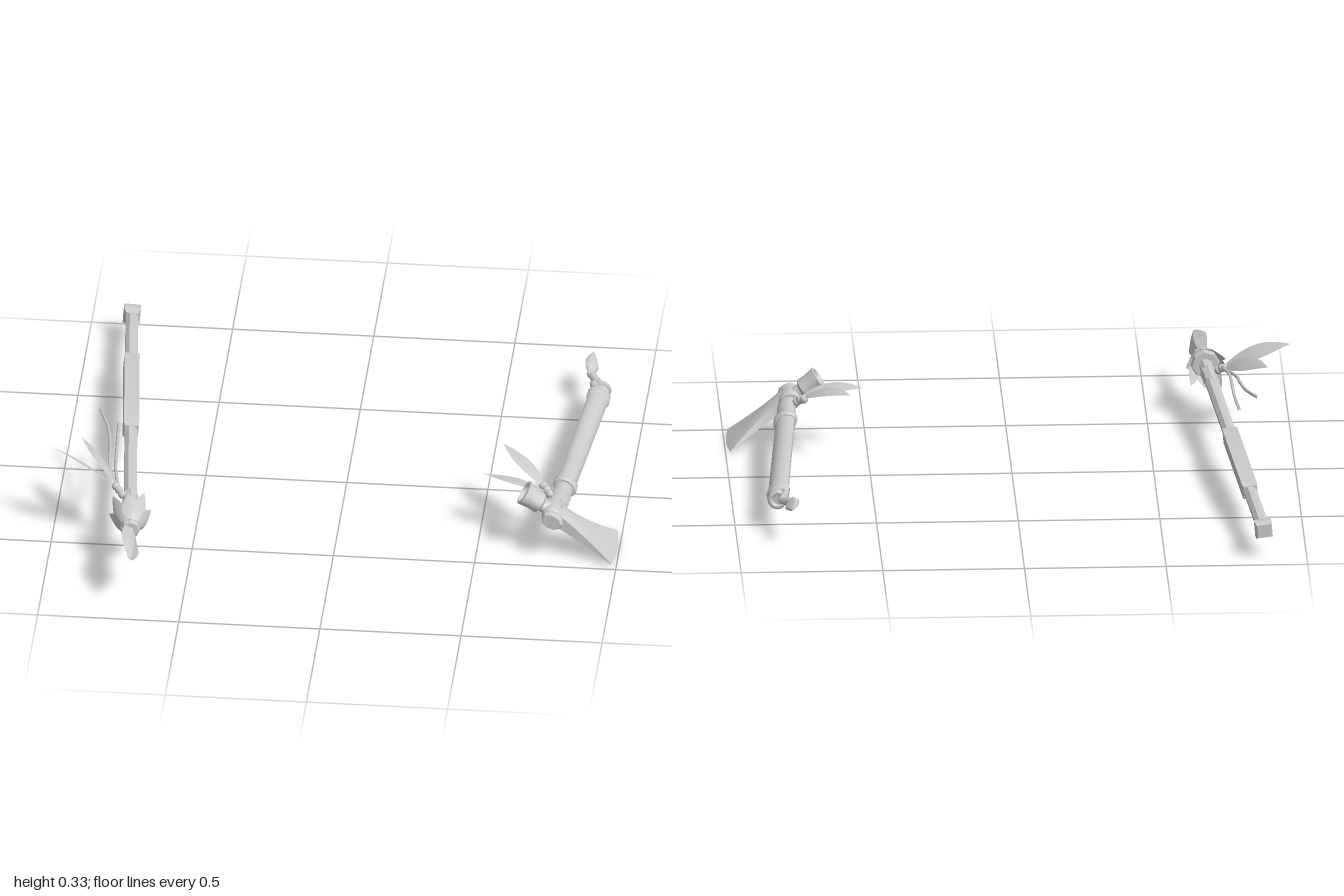
import * as THREE from 'three';
import { toCreasedNormals } from 'three/addons/utils/BufferGeometryUtils.js';

const mat = new THREE.MeshStandardMaterial({ color: 0xcccccc });
const thin = new THREE.MeshStandardMaterial({ color: 0xcccccc, side: THREE.DoubleSide });
const V = (x, y, z) => new THREE.Vector3(x, y, z);
const TILT = 0.61; // lean of the hatchet's flat plane

function add(parent, name, geometry, material = mat) {
  const mesh = new THREE.Mesh(geometry, material);
  mesh.name = name;
  parent.add(mesh);
  return mesh;
}

// Turned part from [radius, height] pairs, optionally flattened in z and then spun about y
function turned(profile, sides = 12, flat = 1, spin = 0) {
  const geo = new THREE.LatheGeometry(profile.map(([r, y]) => new THREE.Vector2(r, y)), sides);
  geo.scale(1, 1, flat).rotateY(spin);
  return toCreasedNormals(geo, 0.6);
}

// Group whose local y runs along a leaning axis, with y equal to depth z
function axisGroup(name, origin, slope) {
  const g = new THREE.Group();
  g.name = name;
  g.position.copy(origin);
  g.quaternion.setFromUnitVectors(V(0, 1, 0), slope.clone().normalize());
  g.scale.y = slope.length();
  return g;
}

// Pointed leaf swept along a bent path, folded slightly at its rib
function leaf(a, bend, b, width, up, peak = 0.5, fold = 0.12) {
  const path = new THREE.QuadraticBezierCurve3(a, bend, b);
  const geo = new THREE.PlaneGeometry(2, 1, 2, 10);
  const p = geo.attributes.position;
  for (let i = 0; i < p.count; i++) {
    const t = p.getY(i) + 0.5, s = p.getX(i);
    const w = width / 2 * Math.sin(Math.PI * Math.pow(t, Math.log(0.5) / Math.log(peak))) + 0.003 * (1 - t);
    const side = path.getTangent(t).cross(up).normalize();
    const v = path.getPoint(t).addScaledVector(side, s * w);
    v.addScaledVector(up, -Math.abs(s) * w * fold);
    p.setXYZ(i, v.x, v.y, v.z);
  }
  geo.computeVertexNormals();
  return geo;
}

function knot(parent, x, y, z, r) {
  for (const [dx, dy, dz] of [[0, 0, 0], [-0.012, 0.006, -0.014], [0.012, -0.012, 0.01]])
    add(parent, 'knot', new THREE.SphereGeometry(r, 8, 6)).position.set(x + dx, y + dy, z + dz);
}

// Strap loops around an axis group
function loops(parent, name, heights, r, tube) {
  heights.forEach((y, i) => {
    const ring = add(parent, name, new THREE.TorusGeometry(r, tube, 6, 14));
    ring.rotation.x = Math.PI / 2 + (i % 2 ? 0.15 : -0.15);
    ring.position.y = y;
  });
}

function createSpear() {
  const spear = new THREE.Group();
  spear.name = 'spear';
  const body = axisGroup('spearBody', V(-0.765, 0.158, 0), V(0.0915, 0.0513, 1));
  spear.add(body);

  // Slim shaft with a squared grip and a squared butt
  add(body, 'spearShaft', turned([[0, -0.9], [0.024, -0.9], [0.024, 0.6], [0, 0.6]], 8, 1, Math.PI / 8));
  add(body, 'spearGrip', turned([[0, -0.57], [0.034, -0.57], [0.038, -0.555],
    [0.038, -0.045], [0.034, -0.03], [0, -0.03]], 4, 1, Math.PI / 4));
  add(body, 'buttCap', turned([[0, -0.93], [0.034, -0.93], [0.042, -0.915], [0.042, -0.888],
    [0.03, -0.868], [0, -0.868]], 4, 1, Math.PI / 4));
  add(body, 'shaftBinding', turned([[0, 0.435], [0.026, 0.435], [0.029, 0.45], [0.027, 0.485],
    [0.03, 0.5], [0.03, 0.525], [0.026, 0.54], [0, 0.54]], 8));

  // Crown of petals pointing back down the shaft
  add(body, 'crownCup', turned([[0, 0.6], [0.048, 0.6], [0.052, 0.615], [0.046, 0.64], [0.034, 0.662],
    [0.026, 0.675], [0, 0.675]], 8));
  for (let i = 0; i < 8; i++) {
    const long = i % 2;
    const petal = add(body, 'crownPetal',
      leaf(V(0.026, 0.672, 0), V(0.062, 0.635, 0), V(0.075 + 0.004 * long, 0.562 - 0.03 * long, 0),
        0.05, V(1, 0, 0), 0.5, 0.3), thin);
    petal.rotation.y = i * Math.PI / 4 + 0.2;
  }
  add(body, 'neckRing', turned([[0, 0.668], [0.03, 0.668], [0.035, 0.676], [0.035, 0.692], [0.03, 0.7], [0, 0.7]], 8));

  // Flattened four-edged point, set at a diagonal
  add(body, 'spearPoint', turned([[0, 0.69], [0.03, 0.69], [0.032, 0.72], [0.042, 0.765],
    [0.048, 0.8], [0.041, 0.835], [0.022, 0.885], [0, 0.925]], 4, 0.42, -Math.PI / 4));

  // Feathers and trailing ribbons
  knot(spear, -0.762, 0.222, 0.475, 0.015);
  const up = V(0.4, 0.8, -0.42).normalize();
  add(spear, 'spearFeather', leaf(V(-0.765, 0.225, 0.475), V(-0.87, 0.31, 0.44), V(-1, 0.335, 0.4), 0.07, up), thin);
  add(spear, 'spearFeather', leaf(V(-0.765, 0.225, 0.465), V(-0.83, 0.29, 0.38), V(-0.915, 0.3, 0.255), 0.065, up), thin);
  for (const [dx, tipX, tipY] of [[-0.02, -0.87, 0.272], [0, -0.805, 0.222]]) {
    const path = new THREE.CatmullRomCurve3([V(-0.765, 0.225, 0.465), V(-0.785 + dx, 0.235, 0.36),
      V(-0.795 + dx, tipY - 0.02, 0.24), V(-0.8 + 1.6 * dx, tipY - 0.01, 0.13), V(tipX, tipY, 0.02)]);
    add(spear, 'ribbon', new THREE.TubeGeometry(path, 20, 0.006, 5));
  }
  return spear;
}

function createHatchet() {
  const hatchet = new THREE.Group();
  hatchet.name = 'hatchet';
  const handle = axisGroup('hatchetHandle', V(0.807, 0.144, 0), V(-0.082, 0.05, 1));
  hatchet.add(handle);

  // Oval grip, widest in the plane of the blade
  add(handle, 'grip', turned([[0, -0.535], [0.024, -0.535], [0.038, -0.515], [0.044, -0.49], [0.044, -0.46],
    [0.039, -0.44], [0.037, 0.16], [0.033, 0.2], [0.031, 0.46], [0, 0.46]], 12, 0.72, -TILT));
  add(handle, 'gripCollar', turned([[0, 0.163], [0.04, 0.163], [0.045, 0.17], [0.045, 0.195],
    [0.04, 0.202], [0, 0.202]], 12, 0.78, -TILT));
  loops(handle, 'pommelStrap', [-0.505, -0.54], 0.026, 0.01);
  add(handle, 'headBinding', turned([[0, 0.25], [0.032, 0.25], [0.036, 0.262], [0.034, 0.285],
    [0.036, 0.31], [0.032, 0.33], [0, 0.33]], 10, 0.8, -TILT));

  // Pendant hanging off the pommel
  const cord = new THREE.CatmullRomCurve3([V(0.857, 0.128, -0.5), V(0.822, 0.14, -0.535), V(0.838, 0.124, -0.565), V(0.806, 0.136, -0.61)]);
  add(hatchet, 'pendantCord', new THREE.TubeGeometry(cord, 14, 0.014, 6));
  const pendant = axisGroup('pendant', V(0.805, 0.137, -0.595), V(0, 0.07, -1));
  add(pendant, 'pendantPoint', turned([[0, 0], [0.015, 0.004], [0.014, 0.02], [0.024, 0.045], [0.029, 0.07],
    [0.02, 0.105], [0, 0.148]], 8, 0.5, TILT));
  hatchet.add(pendant);

  // Head: local x runs towards the cutting edge
  const head = new THREE.Group();
  head.name = 'hatchetHead';
  head.position.set(0.77, 0.166, 0.385);
  head.rotation.z = -TILT;
  hatchet.add(head);

  const socket = add(head, 'socket', turned([[0, -0.046], [0.034, -0.046], [0.041, -0.036],
    [0.041, 0.036], [0.034, 0.046], [0, 0.046]], 12, 0.86));
  socket.rotation.x = Math.PI / 2;
  add(handle, 'socketRim', turned([[0, 0.43], [0.036, 0.43], [0.04, 0.438], [0.04, 0.452],
    [0.034, 0.462], [0, 0.462]], 10, 0.8, -TILT));

  const blade = new THREE.BoxGeometry(1, 1, 1, 12, 2, 8);
  const p = blade.attributes.position;
  for (let i = 0; i < p.count; i++) {
    const s = p.getX(i) + 0.5, t = p.getZ(i) * 2, flare = Math.pow(s, 1.8);
    const half = 0.04 + 0.076 * flare;
    const thick = 0.07 * (1 - s) * (1 - 0.35 * t * t) + 0.003;
    p.setXYZ(i, 0.01 + 0.248 * s + 0.014 * s * (1 - t * t), p.getY(i) * thick, 0.005 - 0.026 * flare + t * half);
  }
  add(head, 'blade', toCreasedNormals(blade, 0.6));

  // Hollow oval bowl opposite the blade
  const bowl = add(head, 'bowl', turned([[0, 0.02], [0.03, 0.02], [0.03, 0.05], [0.045, 0.06], [0.045, 0.085],
    [0.048, 0.105], [0.053, 0.128], [0.043, 0.13], [0.036, 0.115], [0, 0.11]], 12));
  bowl.geometry.scale(0.8, 1, 1);
  bowl.rotation.z = Math.PI / 2;

  // Feathers
  knot(hatchet, 0.735, 0.195, 0.285, 0.016);
  const up = V(0.15, 0.95, -0.2).normalize();
  add(hatchet, 'hatchetFeather', leaf(V(0.735, 0.197, 0.285), V(0.66, 0.27, 0.225), V(0.565, 0.27, 0.11), 0.068, up), thin);
  add(hatchet, 'hatchetFeather', leaf(V(0.735, 0.195, 0.3), V(0.64, 0.255, 0.315), V(0.51, 0.238, 0.27), 0.068, up), thin);
  return hatchet;
}

export function createModel() {
  const model = new THREE.Group();
  model.name = 'spearAndHatchet';
  model.add(createSpear(), createHatchet());
  return model;
}
